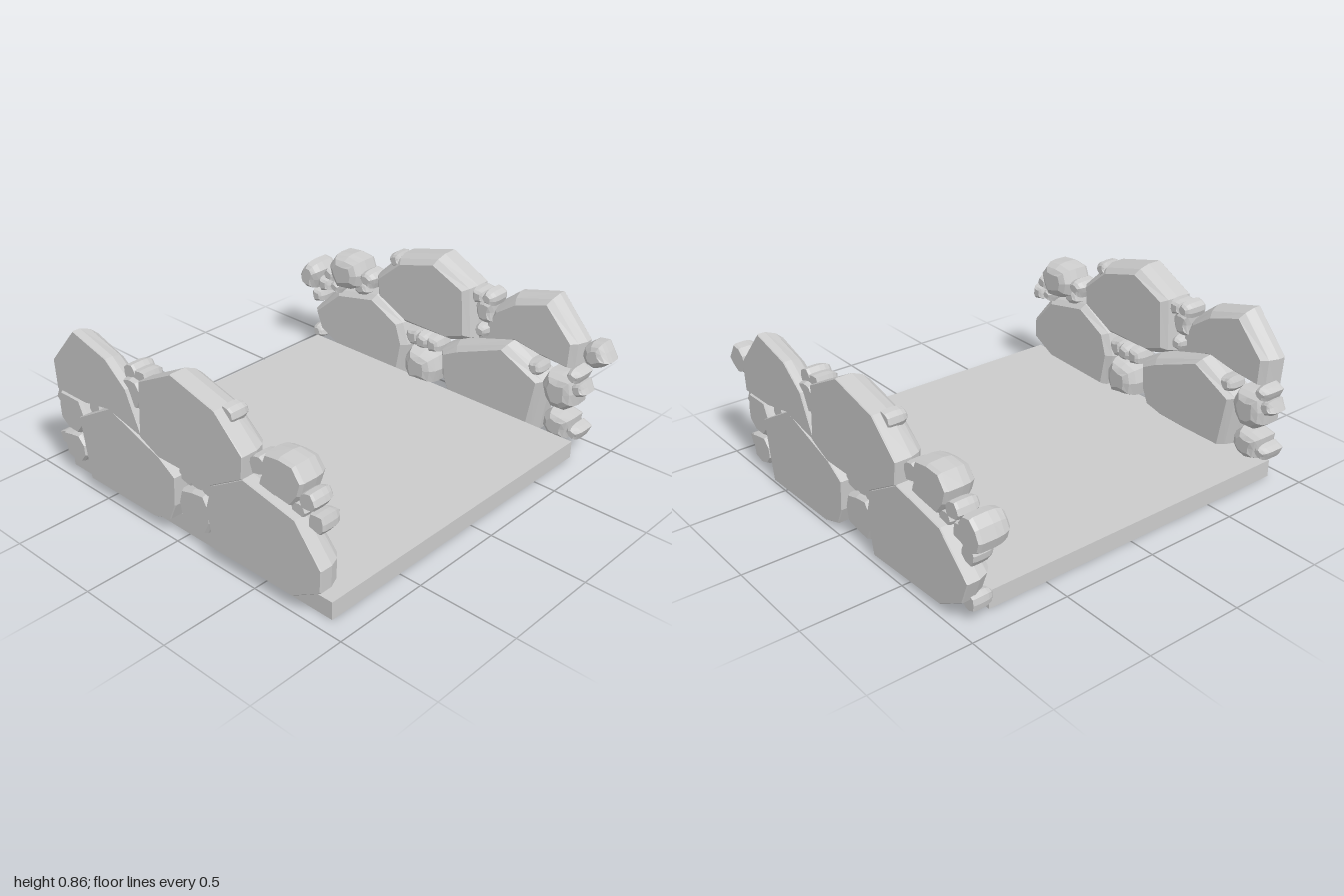
import * as THREE from 'three';

// Flat-faced slabs: inner x, outer x, outline as [z, y] corners
const SLABS = {
  lowerFrontSlab: [0.835, 0.985, [[0.63, 0.005], [0.68, 0.32], [0.44, 0.46], [0.1, 0.345], [0, 0.28], [0.01, 0.13], [0.05, 0.04], [0.16, 0.005]]],
  upperFrontSlab: [0.865, 0.987, [[0.84, 0.57], [0.66, 0.775], [0.43, 0.715], [0.3, 0.61], [0.21, 0.405], [0.44, 0.455], [0.62, 0.42], [0.83, 0.42]]],
  upperMiddleSlab: [0.825, 0.99, [[0.2, 0.69], [-0.02, 0.805], [-0.29, 0.735], [-0.45, 0.58], [-0.44, 0.47], [-0.24, 0.35], [0.1, 0.35], [0.22, 0.405]]],
  lowerBackSlab: [0.84, 0.985, [[-0.24, 0.02], [-0.2, 0.22], [-0.24, 0.35], [-0.44, 0.47], [-0.74, 0.41], [-0.92, 0.23], [-0.88, 0.12], [-0.73, 0.03]]],
};

// Rounded stones: z, y, half width, half height, inner x, roll
const BOULDERS = {
  keyStone: [-0.1, 0.15, 0.11, 0.105, 0.785, 0],
  crownStone: [-0.635, 0.545, 0.12, 0.105, 0.78, 0.1],
  endUpperStone: [0.765, 0.305, 0.1, 0.105, 0.81, 0.15],
  endLowerStone: [0.765, 0.115, 0.085, 0.08, 0.82, -0.1],
  gapStone: [0.28, 0.59, 0.06, 0.075, 0.84, 0],
  frontTipStone: [0.925, 0.545, 0.07, 0.07, 0.85, 0.5],
  backTipStone: [-0.91, 0.45, 0.065, 0.085, 0.79, -0.35],
};

// Pebble rows: count, radius, first and last [z, y]
const PEBBLE_ROWS = {
  gapPebble: [2, 0.042, [0.315, 0.675], [0.245, 0.665]],
  nookPebble: [3, 0.05, [-0.03, 0.295], [-0.17, 0.295]],
  frontPebble: [2, 0.04, [0.845, 0.42], [0.865, 0.345]],
  crownPebble: [2, 0.052, [-0.49, 0.54], [-0.55, 0.475]],
  backPebble: [3, 0.045, [-0.77, 0.49], [-0.87, 0.33]],
};

// Single wedge pebbles as [z, y]
const WEDGES = [[0.28, 0.485], [0.61, 0.38], [0.875, 0.115], [-0.31, 0.7], [-0.72, 0.43], [-0.87, 0.1]];

const material = new THREE.MeshStandardMaterial({ color: 0xcccccc, flatShading: true });

// Lofts a [z, y] outline, anticlockwise seen from outside, through rings of [x, inset] and caps both ends
function loft(outline, rings) {
  const n = outline.length;
  const cz = outline.reduce((s, p) => s + p[0], 0) / n;
  const cy = outline.reduce((s, p) => s + p[1], 0) / n;
  const position = [], index = [];
  for (const [x, inset] of rings) {
    for (const [z, y] of outline) {
      const k = 1 - inset / Math.hypot(z - cz, y - cy);
      position.push(x, cy + (y - cy) * k, cz + (z - cz) * k);
    }
  }
  const last = (rings.length - 1) * n, inner = last + n;
  position.push(rings[0][0], cy, cz, rings.at(-1)[0], cy, cz);
  for (let i = 0; i < n; i++) {
    const j = (i + 1) % n;
    for (let r = 0; r < last; r += n) {
      index.push(r + i, r + j, r + j + n, r + i, r + j + n, r + i + n);
    }
    index.push(inner, j, i, inner + 1, last + i, last + j);
  }
  const geometry = new THREE.BufferGeometry();
  geometry.setAttribute('position', new THREE.Float32BufferAttribute(position, 3));
  geometry.setIndex(index);
  const flat = geometry.toNonIndexed();
  flat.computeVertexNormals();
  return flat;
}

// Boxy stone with uneven corners and a domed inner face
function stoneGeometry(z, y, w, h, x0, x1, roll, seed) {
  const sides = 9, outline = [];
  for (let i = 0; i < sides; i++) {
    const a = seed - (i / sides) * Math.PI * 2;
    const c = Math.cos(a), s = Math.sin(a);
    const r = (0.96 + 0.06 * Math.sin(seed * 7 + i * 2.3)) / Math.pow(c ** 4 + s ** 4, 0.25);
    const p = new THREE.Vector2(c * r * w, s * r * h).rotateAround(new THREE.Vector2(), roll);
    outline.push([z + p.x, y + p.y]);
  }
  const d = x1 - x0, m = Math.min(w, h);
  return loft(outline, [
    [x0, m * 0.55], [x0 + d * 0.1, m * 0.25], [x0 + d * 0.28, m * 0.06],
    [x0 + d * 0.5, 0], [x1 - d * 0.1, m * 0.02], [x1, m * 0.12],
  ]);
}

// Builds one wall, trimmed to the range zMin to zMax
function buildWall(name, zMin, zMax) {
  const wall = new THREE.Group();
  wall.name = name;
  const add = (label, geometry) => {
    const mesh = new THREE.Mesh(geometry, material);
    mesh.name = label;
    wall.add(mesh);
  };
  let seed = 0;
  const addStone = (label, z, y, w, h, x0, x1, roll) => {
    seed += 0.7;
    if (z - w > zMin && z + w < zMax) add(label, stoneGeometry(z, y, w, h, x0, x1, roll, seed));
  };
  const addPebble = (label, z, y, r) => {
    const wobble = Math.sin(seed * 5);
    addStone(label, z, y, r, r * (1 + 0.1 * wobble), 0.825 + 0.012 * wobble, 0.945, wobble * 0.4);
  };

  for (const [label, [x0, x1, corners]] of Object.entries(SLABS)) {
    const outline = corners.map(([z, y]) => [Math.max(z, zMin), y]).reverse();
    add(label, loft(outline, [[x0, 0.05], [x0 + 0.03, 0.02], [x0 + 0.08, 0], [x1 - 0.005, 0], [x1, 0.004]]));
  }
  for (const [label, [z, y, w, h, x0, roll]] of Object.entries(BOULDERS)) {
    addStone(label, z, y, w, h, x0, Math.min(0.97, x0 + 0.18), roll);
  }
  for (const [label, [count, r, from, to]] of Object.entries(PEBBLE_ROWS)) {
    for (let i = 0; i < count; i++) {
      const t = i / (count - 1);
      addPebble(label, THREE.MathUtils.lerp(from[0], to[0], t), THREE.MathUtils.lerp(from[1], to[1], t), r);
    }
  }
  for (const [z, y] of WEDGES) addPebble('wedgePebble', z, y, 0.04);
  return wall;
}

export function createModel() {
  const model = new THREE.Group();
  model.name = 'stoneWalledPlatform';

  // Floor plate
  const floor = new THREE.Mesh(new THREE.BoxGeometry(1.735, 0.09, 1.745), material);
  floor.name = 'floor';
  floor.position.set(-0.058, 0.045, 0.01);
  model.add(floor);

  // Left wall, turned very slightly outward at the front
  const leftWall = buildWall('leftWall', -1, 1);
  leftWall.rotation.y = 0.015;
  model.add(leftWall);

  // Right wall: the same stones turned half round, a little higher, without the tip stones
  const rightWall = buildWall('rightWall', -0.885, 0.92);
  rightWall.rotation.y = Math.PI;
  rightWall.position.set(-0.008, 0.05, 0);
  model.add(rightWall);

  return model;
}
